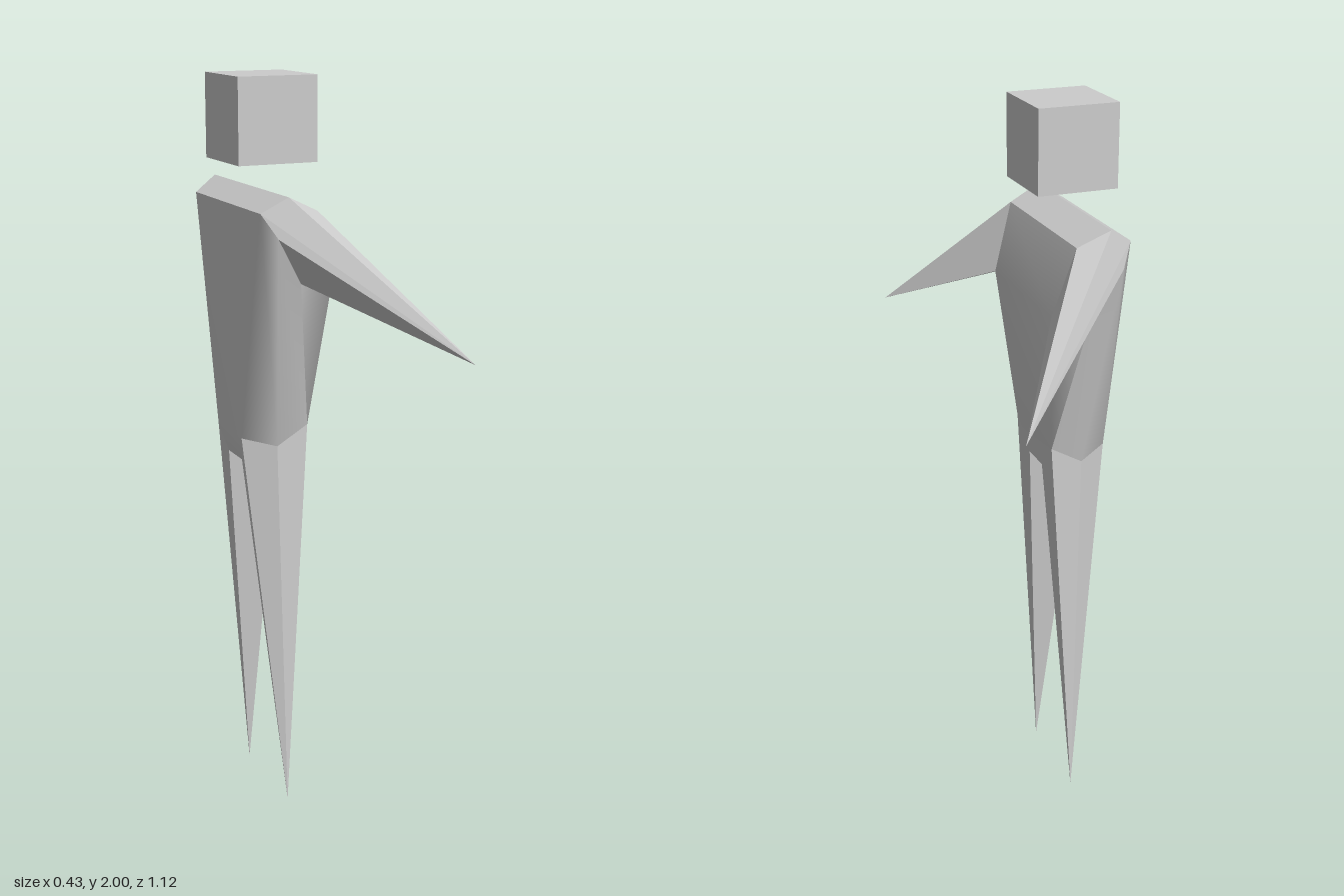
import * as THREE from 'three';

// Corner points of the left half (z > 0); the other half is mirrored
const P = {
  ridge: [-0.14, 1.72, 0.24], collar: [-0.055, 1.68, 0.225], chest: [0, 1.5, 0.2],
  armpit: [-0.1, 1.5, 0.225], nape: [-0.205, 1.68, 0.215], blade: [-0.172, 1.62, 0.25],
  hand: [0.21, 1.335, 0.56], hipFront: [-0.035, 1.1, 0.125], hipSide: [-0.122, 1.05, 0.125],
  hipBack: [-0.205, 1.07, 0.08], crotchFront: [-0.04, 1.02, 0.045],
  crotchBack: [-0.19, 1.0, 0.045], foot: [-0.1, 0, 0.137],
};
const names = Object.keys(P);
const n = names.length;
const idx = (name, side) => names.indexOf(name) + (side > 0 ? 0 : n);

// Faces listed on one side, with the winding turned round for the other
function pair(faces, sides = [1, -1]) {
  const out = [];
  for (const s of sides) {
    for (const f of faces) {
      const ids = f.map((k) => idx(k, s));
      if (s < 0) ids.reverse();
      for (let i = 1; i < ids.length - 1; i++) out.push(ids[0], ids[i], ids[i + 1]);
    }
  }
  return out;
}

// Strip spanning both sides between an upper and a lower point
function span(a, b) {
  const [aL, bL, bR, aR] = [idx(a, 1), idx(b, 1), idx(b, -1), idx(a, -1)];
  return [aL, bL, bR, aL, bR, aR];
}

export function createModel() {
  const group = new THREE.Group();
  const grey = new THREE.MeshStandardMaterial({ color: 0xcccccc });
  grey.name = 'light grey';

  const positions = [];
  for (const s of [1, -1]) for (const k of names) positions.push(P[k][0], P[k][1], s * P[k][2]);

  function add(name, index, smooth) {
    let g = new THREE.BufferGeometry();
    g.setAttribute('position', new THREE.Float32BufferAttribute(positions, 3));
    g.setIndex(index);
    g = smooth ? g : g.toNonIndexed();
    g.computeVertexNormals();
    const mesh = new THREE.Mesh(g, grey);
    mesh.name = name;
    group.add(mesh);
  }

  // Floating cube head
  const head = new THREE.Mesh(new THREE.BoxGeometry(0.216, 0.216, 0.216), grey);
  head.position.set(-0.108, 1.892, 0);
  head.name = 'head';
  group.add(head);

  // Chest and belly, wrapping round under the arms
  add('torsoFront', [
    ...span('collar', 'chest'), ...span('chest', 'hipFront'), ...span('hipFront', 'crotchFront'),
    ...pair([['armpit', 'hipFront', 'chest']]),
  ], true);

  // Back and flanks
  add('torsoBack', [
    ...span('hipBack', 'nape'), ...span('crotchBack', 'hipBack'),
    ...pair([['nape', 'hipBack', 'hipSide', 'blade'], ['blade', 'hipSide', 'hipFront', 'armpit']]),
  ], true);

  // Shoulder slopes and crotch
  add('shoulders', [...span('ridge', 'collar'), ...span('nape', 'ridge')], false);
  add('crotch', span('crotchFront', 'crotchBack'), false);

  // Pointed arms and legs: a ring of corners drawn to one tip
  const cone = (ring, tip) => ring.map((k, i) => [k, ring[(i + 1) % ring.length], tip]);
  add('arms', pair(cone(['ridge', 'nape', 'blade', 'armpit', 'chest', 'collar'], 'hand')), false);
  add('legs', pair(cone(['hipFront', 'crotchFront', 'crotchBack', 'hipBack', 'hipSide'], 'foot')
    .map(([a, b, c]) => [a, c, b])), false);

  return group;
}
